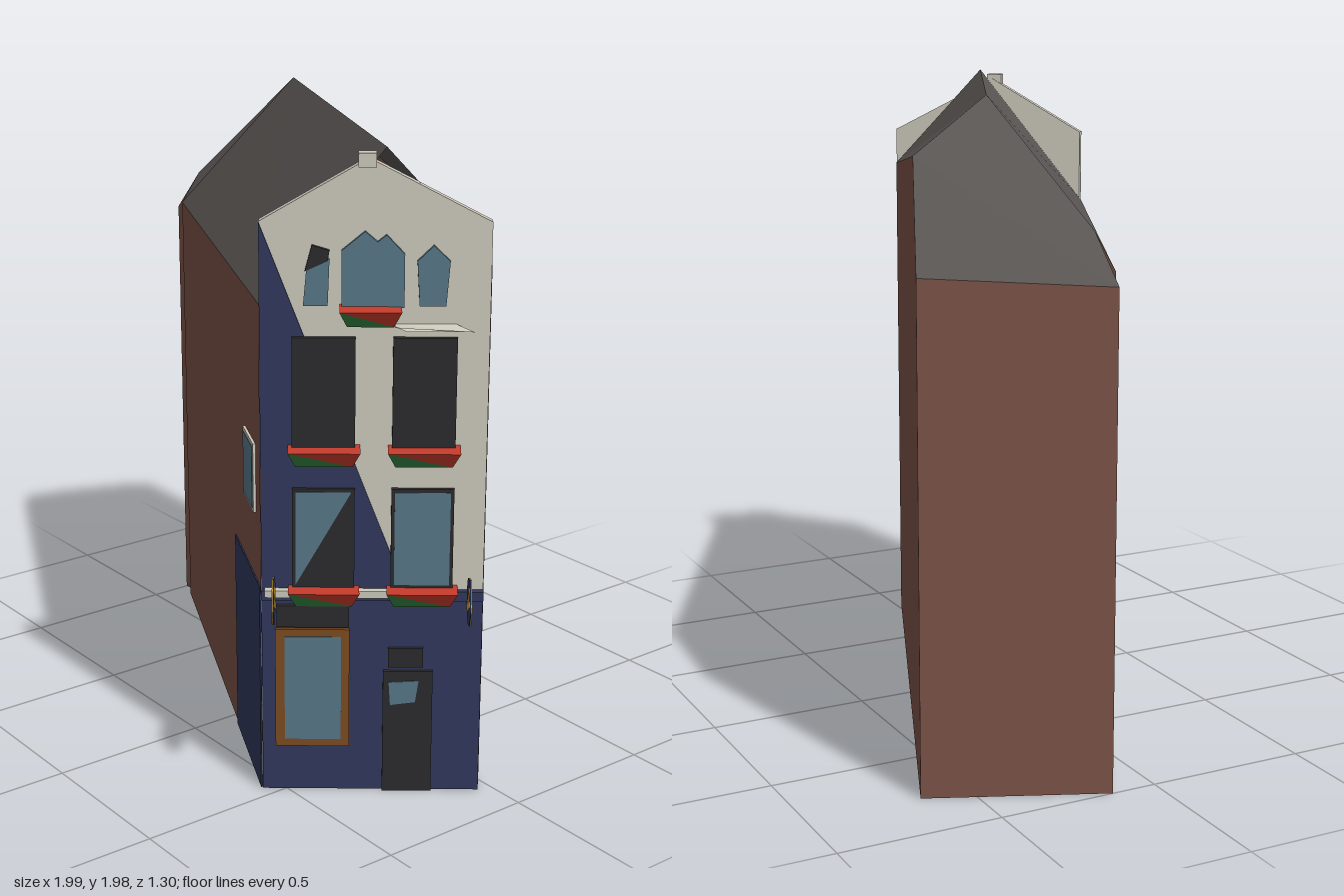
import * as THREE from 'three';

const mat = (name, color) => {
  const m = new THREE.MeshStandardMaterial({ color, side: THREE.DoubleSide });
  m.name = name;
  return m;
};

export function createModel() {
  const brick = mat('brick', 0x7b5247), slate = mat('slate', 0x5b5755), cream = mat('cream', 0xcfcbbe);
  const navy = mat('navy', 0x30385c), glass = mat('glass', 0x587888), dark = mat('dark', 0x2c2c2e);
  const wood = mat('wood', 0x7d4c22), gold = mat('gold', 0xd0a02c), red = mat('red', 0xc23a2a);
  const green = mat('green', 0x338040);

  const model = new THREE.Group();
  model.name = 'townHouse';

  const add = (parent, name, geo, m) => {
    const mesh = new THREE.Mesh(geo, m);
    mesh.name = name;
    parent.add(mesh);
    return mesh;
  };
  // flat polygon from 3D corners, counter-clockwise from outside
  const face = (parent, name, pts, m) => {
    const pos = [];
    for (let i = 1; i < pts.length - 1; i++) pos.push(...pts[0], ...pts[i], ...pts[i + 1]);
    const geo = new THREE.BufferGeometry();
    geo.setAttribute('position', new THREE.Float32BufferAttribute(pos, 3));
    geo.computeVertexNormals();
    return add(parent, name, geo, m);
  };
  // thin plate with a 2D outline, its back at z
  const plate = (parent, name, pts, z, depth, m) => {
    const shape = new THREE.Shape(pts.map(p => new THREE.Vector2(...p)));
    const geo = new THREE.ExtrudeGeometry(shape, { depth, bevelEnabled: false });
    geo.translate(0, 0, z);
    return add(parent, name, geo, m);
  };
  const rect = (x0, y0, x1, y1) => [[x0, y0], [x1, y0], [x1, y1], [x0, y1]];
  // group whose x axis runs along a wall and whose z axis points outwards
  const wallGroup = (name, a, b) => {
    const g = new THREE.Group();
    g.name = name;
    g.position.set(a[0], 0, a[1]);
    g.rotation.y = Math.atan2(a[1] - b[1], b[0] - a[0]);
    model.add(g);
    return g;
  };

  // ---- brick walls, open underneath: [x, z, top heights]
  const W = [-0.93, 1.51, -0.11], F = [0.45, 1.53, 0.555], G = [0.84, 1.65, 0.02];
  const C = [-0.58, 1.82, -0.565], A = [-0.78, 1.51, -0.65], B = [-1, 1.48, -0.14];
  const D = [-0.88, 1.62, -0.15], R0 = [-0.54, 1.98, -0.315], R1 = [0.67, 1.98, 0.27];
  const foot = p => [p[0], 0, p[2]];
  face(model, 'leftWall', [foot(W), foot(F), F, W], brick);
  face(model, 'rightWall', [foot(G), foot(A), A, C, G], brick);
  face(model, 'backWall', [foot(A), foot(B), B, A], brick);
  face(model, 'notchWall', [foot(B), foot(D), D, B], brick);
  face(model, 'notchReturn', [foot(D), foot(W), W, D], brick);

  // ---- roof
  face(model, 'leftRoof', [R0, D, W, F, R1], slate);
  face(model, 'rightRoof', [R0, R1, G, C], slate);
  face(model, 'hipRoof', [R0, C, D], slate);
  face(model, 'lowerBackRoof', [C, A, B, D], slate);

  // ---- left wall details
  const side = wallGroup('leftWallDetails', [W[0], W[2]], [F[0], F[2]]);
  plate(side, 'paintedCorner', rect(1.099, 0, 1.532, 0.665), 0.001, 0.004, navy);
  plate(side, 'sideWindowFrame', rect(1.284, 0.873, 1.459, 1.088), 0, 0.008, cream);
  plate(side, 'sideWindowGlass', rect(1.295, 0.884, 1.448, 1.077), 0.006, 0.004, glass);

  // ---- front gable slab
  const front = wallGroup('facade', [0.452, 0.555], [0.86, 0.04]);
  const L = 0.657;
  plate(front, 'gableSlab', [[0, 0], [L, 0], [L, 1.77], [0.31, 1.95], [0, 1.77]], -0.035, 0.035, cream);
  plate(front, 'paintedBase', rect(0, 0, L, 0.65), 0, 0.005, navy);
  plate(front, 'paintedTriangle', [[0, 0.65], [0.43, 0.65], [0, 1.77]], 0, 0.004, navy);
  plate(front, 'baseCornice', rect(0, 0.63, L, 0.66), 0, 0.02, navy);
  plate(front, 'paleLedge', rect(0.01, 0.642, 0.46, 0.664), 0, 0.028, cream);
  plate(front, 'gableFinial', rect(0.28, 1.925, 0.33, 1.965), -0.03, 0.04, cream);

  // shop window
  plate(front, 'shopFrame', rect(0.04, 0.15, 0.262, 0.535), 0, 0.016, wood);
  plate(front, 'shopGlass', rect(0.068, 0.175, 0.237, 0.512), 0.013, 0.006, glass);
  plate(front, 'shopFascia', rect(0.045, 0.543, 0.26, 0.612), 0, 0.018, dark);

  // door
  plate(front, 'door', rect(0.363, 0, 0.512, 0.4), 0, 0.016, dark);
  plate(front, 'doorGlass', [[0.385, 0.29], [0.46, 0.3], [0.47, 0.37], [0.38, 0.365]], 0.013, 0.006, glass);
  plate(front, 'doorFanlight', rect(0.378, 0.413, 0.482, 0.475), 0, 0.016, dark);

  // flower box: slanted front split into a red and a green half
  const flowerBox = (u0, u1, y) => {
    const g = new THREE.Group();
    g.name = 'flowerBox';
    front.add(g);
    const z = 0.05, h = 0.05, i = 0.022;
    const tl = [u0, y, z], tr = [u1, y, z], br = [u1 - i, y - h, 0.02], bl = [u0 + i, y - h, 0.02];
    const btl = [u0, y + 0.012, 0], btr = [u1, y + 0.012, 0];
    face(g, 'boxTop', [btl, tl, tr, btr], red);
    face(g, 'boxFrontRed', [tl, br, tr], red);
    face(g, 'boxFrontGreen', [tl, bl, br], green);
    face(g, 'boxBottom', [bl, [u0 + i, y - h, 0], [u1 - i, y - h, 0], br], dark);
    face(g, 'boxLeftEnd', [btl, [u0 + i, y - h, 0], bl, tl], dark);
    face(g, 'boxRightEnd', [btr, tr, br, [u1 - i, y - h, 0]], dark);
  };

  // two storeys of windows with flower boxes
  [[0.092, 0.275], [0.382, 0.565]].forEach(([a, b], i) => {
    plate(front, 'firstFloorWindow', rect(a, 0.67, b, 0.98), 0, 0.014, dark);
    const pane = rect(a + 0.01, 0.68, b - 0.01, 0.97);
    if (i === 0) pane.splice(1, 1);
    plate(front, 'firstFloorGlass', pane, 0.011, 0.006, glass);
    plate(front, 'secondFloorWindow', rect(a, 1.09, b, 1.437), 0, 0.016, dark);
    flowerBox(a - 0.012, b + 0.015, 0.662);
    flowerBox(a - 0.012, b + 0.015, 1.1);
  });

  // attic windows
  plate(front, 'atticCentreWindow',
    [[0.234, 1.525], [0.412, 1.525], [0.412, 1.68], [0.36, 1.735], [0.335, 1.715], [0.3, 1.745], [0.234, 1.69]], 0, 0.014, glass);
  plate(front, 'atticLeftWindow', [[0.125, 1.53], [0.195, 1.53], [0.2, 1.665], [0.135, 1.64]], 0, 0.012, glass);
  plate(front, 'atticLeftShade', [[0.13, 1.63], [0.195, 1.66], [0.2, 1.69], [0.15, 1.705]], 0, 0.014, dark);
  plate(front, 'atticRightWindow',
    [[0.455, 1.53], [0.53, 1.53], [0.54, 1.66], [0.493, 1.705], [0.447, 1.66]], 0, 0.014, glass);
  flowerBox(0.228, 0.405, 1.52);

  // slim ledge beside the attic box
  face(front, 'atticLedgeTop', [[0.36, 1.475, 0], [0.4, 1.475, 0.05], [0.61, 1.465, 0.05], [0.56, 1.475, 0]], cream);
  face(front, 'atticLedgeFront', [[0.36, 1.475, 0], [0.42, 1.46, 0.03], [0.61, 1.465, 0.05], [0.4, 1.475, 0.05]], cream);

  // ---- two hanging signs standing out from the facade
  const outline = [[0.04, 0.62], [0.1, 0.595], [0.165, 0.615], [0.2, 0.67], [0.145, 0.75], [0.065, 0.725], [0.035, 0.68]];
  const sign = (u, goldSide) => {
    const g = new THREE.Group();
    g.name = 'hangingSign';
    g.position.x = u;
    g.rotation.y = -Math.PI / 2;
    front.add(g);
    const s = goldSide;
    plate(g, 'signGoldSide', outline, s > 0 ? -0.003 : 0, 0.003, gold);
    plate(g, 'signNavySide', outline, s > 0 ? 0 : -0.003, 0.003, navy);
    plate(g, 'signStripe', [[0.06, 0.63], [0.1, 0.63], [0.18, 0.68], [0.13, 0.72]], s > 0 ? 0.003 : -0.005, 0.002, gold);
    plate(g, 'signCorner', [[0.05, 0.62], [0.1, 0.597], [0.15, 0.612], [0.1, 0.63]], s > 0 ? -0.005 : 0.003, 0.002, navy);
  };
  sign(0.04, -1);
  sign(0.61, 1);

  return model;
}
